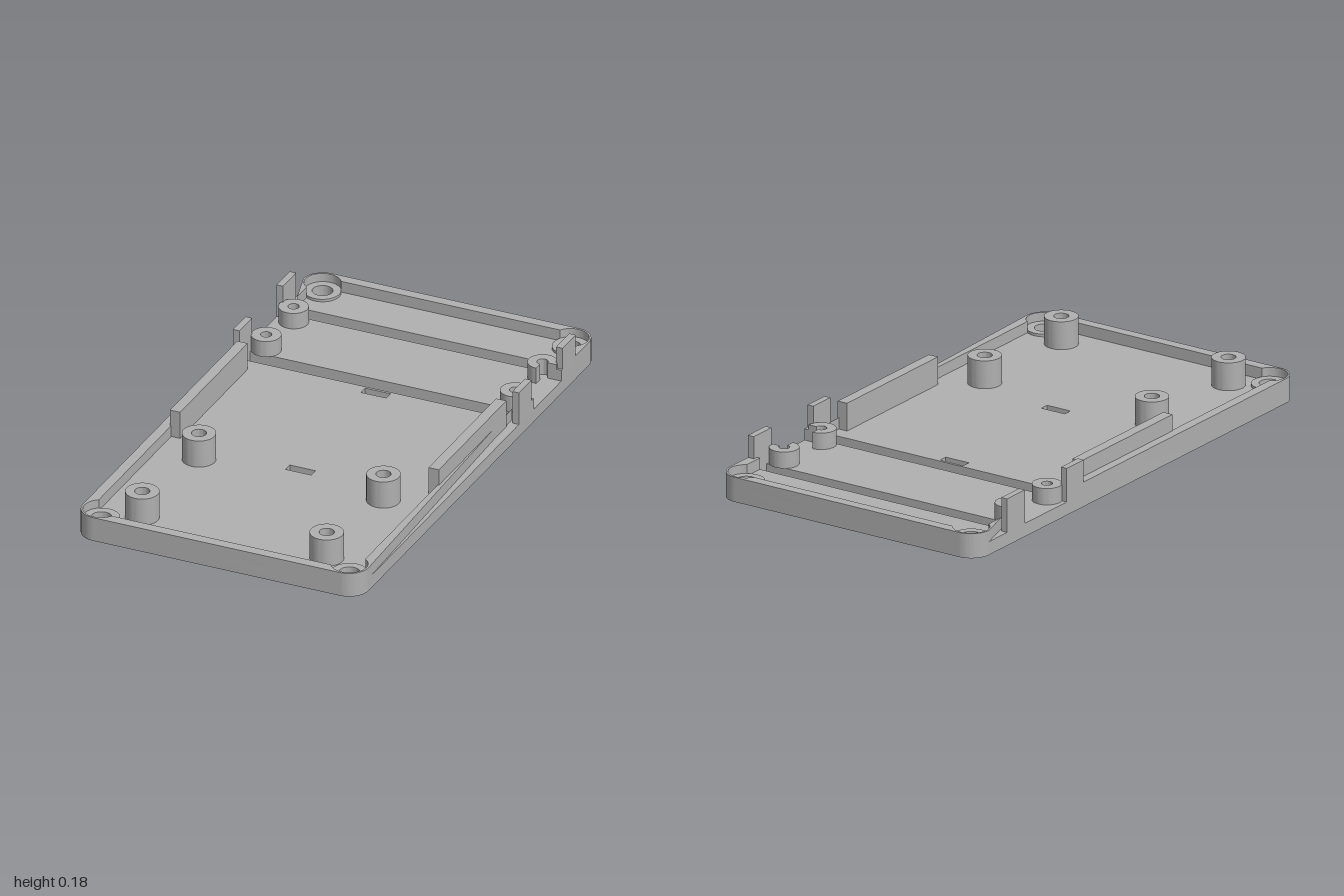
import * as THREE from 'three';
import { toCreasedNormals } from 'three/addons/utils/BufferGeometryUtils.js';

const W = 0.558, R = 0.076, FLOOR = 0.05, RIM = 0.093;
const INNER = 0.52, HX = 0.484, HZ = 0.926, POCKET = 0.066;
const PI = Math.PI;

export function createModel() {
  const model = new THREE.Group();
  model.name = 'enclosureTray';
  const grey = new THREE.MeshStandardMaterial({ color: 0xb0b0b0 });
  grey.name = 'grey plastic';

  const add = (name, geometry) => {
    const mesh = new THREE.Mesh(geometry, grey);
    mesh.name = name;
    model.add(mesh);
    return mesh;
  };
  // Plan shapes are drawn as (x, -z) and raised from y0 to y1
  const raise = (name, shape, y0, y1) => {
    const g = new THREE.ExtrudeGeometry(shape, { depth: y1 - y0, bevelEnabled: false, curveSegments: 20 });
    g.rotateX(-PI / 2).translate(0, y0, 0);
    return add(name, toCreasedNormals(g, 0.6));
  };
  const box = (name, x0, x1, y0, y1, z0, z1) => {
    const g = new THREE.BoxGeometry(x1 - x0, y1 - y0, z1 - z0);
    return add(name, g.translate((x0 + x1) / 2, (y0 + y1) / 2, (z0 + z1) / 2));
  };
  const circle = (Type, x, z, r) => new Type().absarc(x, -z, r, 0, PI * 2, false);
  const rectHole = (x, z0, z1) => new THREE.Path([
    [-x, -z0], [x, -z0], [x, -z1], [-x, -z1],
  ].map(([a, b]) => new THREE.Vector2(a, b)));
  const ring = (name, x, z, r, hole, y0, y1) => {
    const s = circle(THREE.Shape, x, z, r);
    s.holes.push(circle(THREE.Path, x, z, hole));
    return raise(name, s, y0, y1);
  };

  // Floor plate with corner holes, two wide slots and two small slits
  const plate = new THREE.Shape();
  plate.absarc(W - R, 1 - R, R, 0, PI / 2, false);
  plate.absarc(-W + R, 1 - R, R, PI / 2, PI, false);
  plate.absarc(-W + R, -1 + R, R, PI, PI * 1.5, false);
  plate.absarc(W - R, -1 + R, R, PI * 1.5, PI * 2, false);
  plate.holes.push(
    rectHole(0.533, -0.79, -0.73), rectHole(0.533, -0.425, -0.36),
    rectHole(0.05, -0.35, -0.315), rectHole(0.05, 0.28, 0.315));
  for (const x of [-HX, HX]) for (const z of [-HZ, HZ]) {
    plate.holes.push(circle(THREE.Path, x, z, 0.037));
    ring('cornerSeat', x, z, POCKET, 0.037, FLOOR, 0.06);
  }
  raise('floor', plate, 0, FLOOR);

  // U-shaped rims with round pockets at the corners
  const rim = (name, c) => {
    const low = Math.acos((INNER - HX) / POCKET);
    const high = Math.asin((0.96 - HZ) / POCKET);
    const s = new THREE.Shape();
    s.moveTo(-W, c);
    s.absarc(-W + R, 1 - R, R, PI, PI / 2, true);
    s.absarc(W - R, 1 - R, R, PI / 2, 0, true);
    s.lineTo(W, c);
    s.lineTo(INNER, c);
    s.absarc(HX, HZ, POCKET, -low, PI - high, false);
    s.absarc(-HX, HZ, POCKET, high, PI + low, false);
    s.lineTo(-INNER, c);
    return raise(name, s, FLOOR, RIM);
  };
  rim('backRim', 0.79);
  rim('frontRim', -0.36).rotation.y = PI;

  // Upright tabs and long ribs on both sides
  for (const side of [-1, 1]) {
    const sideBox = (name, a, b, ...rest) =>
      box(name, Math.min(side * a, side * b), Math.max(side * a, side * b), ...rest);
    sideBox('sideTab', 0.533, W, FLOOR, 0.177, -0.81, -0.70);
    sideBox('sideTab', 0.533, W, FLOOR, 0.177, -0.44, -0.335);
    sideBox('sideRib', 0.485, 0.525, FLOOR, 0.155, -0.30, 0.265);
  }

  // Tall posts at the front
  for (const x of [-0.36, 0.36]) for (const z of [0.375, 0.85])
    ring('tallPost', x, z, 0.061, 0.027, FLOOR, 0.155);

  // Short posts between the slots; those on the left side are notched
  for (const [z, dir] of [[-0.69, -1], [-0.46, 1]]) {
    ring('shortPost', -0.487, z, 0.054, 0.02, FLOOR, 0.112);
    const s = new THREE.Shape();
    const from = dir < 0 ? 0 : PI / 2;
    s.absarc(0.485, -z, 0.054, from, from + PI * 1.5, false);
    s.absarc(0.485, -z, 0.02, from + PI * 1.5, from, true);
    raise('notchedPost', s, FLOOR, 0.112);
    const zEnd = z + dir * 0.02;
    box('notchEdge', 0.53, W, FLOOR, RIM, Math.min(z, zEnd), Math.max(z, zEnd));
  }
  return model;
}
